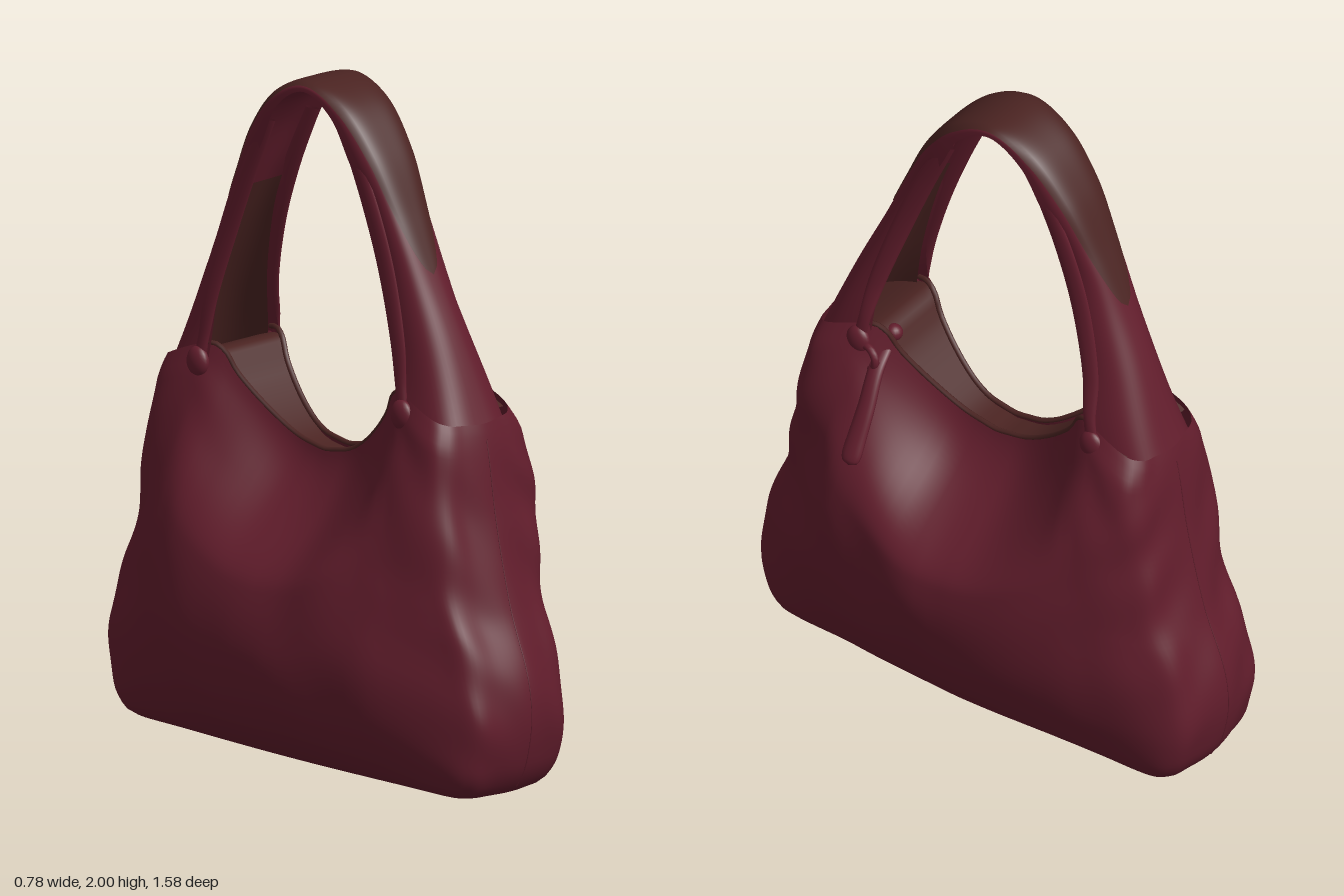
import * as THREE from 'three';
import { mergeVertices } from 'three/addons/utils/BufferGeometryUtils.js';

const V = (x, y, z) => new THREE.Vector3(x, y, z);
const { smoothstep, clamp } = THREE.MathUtils;

// Smooth lookup in a table of [key, value]
function interp(t, x) {
  if (x <= t[0][0]) return t[0][1];
  const n = t.length - 1;
  if (x >= t[n][0]) return t[n][1];
  let i = 0;
  while (x > t[i + 1][0]) i++;
  const slope = (k) => {
    const a = t[Math.max(k - 1, 0)], b = t[Math.min(k + 1, n)];
    return (b[1] - a[1]) / (b[0] - a[0]);
  };
  const h = t[i + 1][0] - t[i][0], u = (x - t[i][0]) / h, u2 = u * u, u3 = u2 * u;
  return (2 * u3 - 3 * u2 + 1) * t[i][1] + (u3 - 2 * u2 + u) * h * slope(i)
    + (3 * u2 - 2 * u3) * t[i + 1][1] + (u3 - u2) * h * slope(i + 1);
}

// Smooth surface from f(u, v), with u and v in 0..1
function surface(nu, nv, f) {
  const pos = [], idx = [];
  for (let j = 0; j <= nv; j++)
    for (let i = 0; i <= nu; i++) pos.push(...f(i / nu, j / nv).toArray());
  for (let j = 0; j < nv; j++)
    for (let i = 0; i < nu; i++) {
      const a = j * (nu + 1) + i, d = a + nu + 1;
      idx.push(a, a + 1, d, a + 1, d + 1, d);
    }
  let g = new THREE.BufferGeometry();
  g.setAttribute('position', new THREE.Float32BufferAttribute(pos, 3));
  g.setIndex(idx);
  g = mergeVertices(g, 1e-5);
  g.computeVertexNormals();
  return g;
}

// Body tables: half length by height, half thickness by level, rim height by z
const LENGTH = [[0, 0.69], [0.035, 0.73], [0.1, 0.765], [0.23, 0.79], [0.36, 0.775], [0.55, 0.705], [0.8, 0.645], [1.06, 0.6], [1.2, 0.54]];
const THICK = [[0, 0.18], [0.04, 0.24], [0.15, 0.32], [0.3, 0.37], [0.47, 0.385], [0.65, 0.35], [0.85, 0.25], [1, 0.165]];
const RIM = [[0, 0.9], [0.1, 0.92], [0.19, 0.975], [0.3, 1.07], [0.375, 1.15], [0.45, 1.15], [0.6, 1.08]];

// Plan outlines of the body: a box with flat end gussets, and its bulged form
function outline(quarter) {
  const half = [...quarter, ...quarter.slice(0, -1).reverse().map(([q, x]) => [-q, x])];
  const ring = [...half, ...half.slice(1, -1).reverse().map(([q, x]) => [q, -x])];
  return new THREE.CatmullRomCurve3(ring.map(([q, x]) => V(x, 0, q)), true);
}
const boxPlan = outline([[1, 0], [0.985, 0.42], [0.96, 0.75], [0.9, 0.9], [0.65, 0.94], [0.33, 0.98], [0, 1]]);
const bulgePlan = outline([[1, 0], [0.975, 0.25], [0.94, 0.46], [0.85, 0.57], [0.66, 0.76], [0.35, 0.935], [0, 1]]);

function bodyPoint(u, level) {
  const v = Math.max(0, (level - 0.06) / 0.94), inner = Math.min(1, level / 0.06);
  // The gussets keep their width while the panels between them swell
  const p = boxPlan.getPoint(u).lerp(bulgePlan.getPoint(u), clamp((interp(THICK, v) - 0.2) / 0.185, 0, 1));
  const s = clamp(p.z, -1, 1);
  const y = 0.008 + v * (interp(RIM, Math.abs(s) * 0.6) - 0.008);
  // The left side bulges higher than the right
  const swell = clamp(v - 0.24 * p.x * v * (1 - v), 0, 1);
  // The mouth closes in toward the middle
  const close = smoothstep(v, 0.6, 1) * (1 - smoothstep(Math.abs(s), 0.1, 0.92));
  let x = p.x * interp(THICK, swell) * (1 - 0.68 * close);
  let z = s * interp(LENGTH, y);
  // Soft folds fanning out from the strap roots, and creased ends
  const amount = Math.sin(Math.PI * v) * Math.min(1, Math.abs(p.x) * 2);
  const side = Math.sign(p.x);
  const fan = Math.atan2(1.2 - y, 0.12 + Math.abs(Math.abs(z) - 0.42));
  x += side * amount * (0.006 * Math.sin(fan * 13 + side + z * 3) + 0.004 * Math.sin(z * 17 + y * 9 + side * 2));
  z += s * Math.abs(s) * amount * 0.008 * Math.sin(y * 24 + p.x * 8);
  return V(x * inner, y, z * inner);
}

// Strap sections: outer z, y, inner z, y, half width, squareness
const STRAP = [
  [0.6, 1.04, 0.38, 1.1, 0.148, 3.4], [0.503, 1.29, 0.37, 1.3, 0.108, 2.6], [0.422, 1.47, 0.315, 1.52, 0.086, 2.6],
  [0.34, 1.65, 0.25, 1.68, 0.085, 3.2], [0.25, 1.825, 0.18, 1.79, 0.1, 4], [0.14, 1.95, 0.11, 1.915, 0.108, 4],
  [0, 2, 0, 1.975, 0.11, 4],
];
const strapRows = [...STRAP, ...STRAP.slice(0, -1).reverse().map(([a, b, c, d, w, p]) => [-a, b, -c, d, w, p])];
const strapTables = [0, 1, 2, 3, 4, 5].map((k) => strapRows.map((r, i) => [i / 12, r[k]]));

// Point on the channel-shaped strap; a is -1..1 across, lift moves it outward
function strapPoint(a, t, lift = 0, limit = Infinity, shrink = 1) {
  const [oz, oy, iz, iy, w, p] = strapTables.map((tab) => interp(tab, t));
  const k = Math.sin(a * Math.PI / 2);
  let f = Math.sign(k) * Math.pow(Math.abs(k), 0.8);
  if (limit < Infinity) f = a * Math.min(0.985, limit / w);
  const d = 1 - Math.pow(Math.max(0, 1 - Math.pow(Math.abs(f), p)), 1 / p);
  const out = V(0, oy - iy, oz - iz).normalize().multiplyScalar(lift);
  const shift = -0.027 * smoothstep(oy, 1.1, 1.6);
  return V(f * w * shrink + shift, oy + (iy - oy) * d, oz + (iz - oz) * d).add(out);
}

export function createModel() {
  const bag = new THREE.Group();
  bag.name = 'shoulderBag';
  const fabric = new THREE.MeshStandardMaterial({ color: 0x621d2c, side: THREE.DoubleSide });
  fabric.name = 'burgundyFabric';
  const trim = new THREE.MeshStandardMaterial({ color: 0x4a2321, side: THREE.DoubleSide });
  trim.name = 'brownTrim';
  const add = (name, geometry, material, parent = bag) => {
    const m = new THREE.Mesh(geometry, material);
    m.name = name;
    parent.add(m);
    return m;
  };

  // Soft body, closed underneath and open along the rim
  add('body', surface(144, 64, bodyPoint), fabric);

  // Sunken zip panel spanning the two rims
  add('zipPanel', surface(8, 48, (u, v) => {
    const along = 0.25 + (v - 0.5) * 0.25;
    return bodyPoint(along, 1).lerp(bodyPoint(1 - along, 1), u).add(V(0, -0.02, 0));
  }), trim);

  // Brown binding along each rim
  for (const side of [1, -1]) {
    const pts = [];
    for (let i = 0; i <= 20; i++) {
      const p = bodyPoint((side > 0 ? 0.25 : 0.75) + (i / 20 - 0.5) * 0.19, 1);
      pts.push(p.add(V(-side * 0.006, 0, 0)));
    }
    add('rimBinding', new THREE.TubeGeometry(new THREE.CatmullRomCurve3(pts), 48, 0.008, 6), trim);
  }

  // Strap channel, its lining at both roots, and the tapered shoulder patch
  add('strap', surface(28, 96, (u, v) => strapPoint(u * 2 - 1, v)), fabric);
  for (const start of [0, 0.77])
    add('strapLining', surface(20, 30, (u, v) => strapPoint((u * 2 - 1) * 0.95, start + v * 0.23, -0.01, Infinity, 0.92)), trim);
  add('shoulderPatch', surface(20, 80, (u, v) => {
    const t = 0.17 + v * 0.66;
    const z = Math.abs(interp(strapTables[0], t)) / 0.41;
    return strapPoint(u * 2 - 1, t, 0.005, 0.111 * Math.sqrt(Math.max(0, 1 - Math.pow(z, 2.3))));
  }), trim);

  // Edge bands standing off the strap, running down to knotted ends on the body
  for (const x of [1, -1])
    for (const z of [1, -1]) {
      const path = new THREE.CatmullRomCurve3([
        V(x * 0.09 - 0.026, 1.86, z * 0.165), V(x * 0.09 - 0.026, 1.68, z * 0.25), V(x * 0.098 - 0.022, 1.5, z * 0.32),
        V(x * 0.122 - 0.012, 1.3, z * 0.38), V(x * 0.142, 1.18, z * 0.4), V(x * 0.15, 1.1, z * 0.415),
      ]);
      add('edgeBand', surface(12, 48, (u, v) => {
        const a = u * Math.PI * 2, p = path.getPoint(v);
        const taper = 0.6 + 0.4 * Math.sin(Math.PI * Math.min(1, v + 0.2));
        return p.add(V(Math.cos(a) * 0.01, 0, Math.sin(a) * 0.034 * taper));
      }), fabric);
      const knot = add('bandKnot', new THREE.SphereGeometry(0.04, 20, 14), fabric);
      knot.scale.set(0.6, 1.15, 1);
      knot.position.set(x * 0.152, 1.1, z * 0.415);
    }

  // Zip pull hanging on the left side
  const pull = new THREE.Group();
  pull.name = 'zipPull';
  bag.add(pull);
  const pullPath = new THREE.CatmullRomCurve3([V(0.09, 1.1, 0.345), V(0.165, 1.04, 0.34), V(0.23, 0.94, 0.33), V(0.28, 0.85, 0.33), V(0.315, 0.785, 0.33)]);
  add('pullTab', surface(14, 32, (u, v) => {
    const a = u * Math.PI * 2;
    const round = Math.sqrt(Math.max(0, 1 - Math.pow(Math.abs(2 * v - 1), 10)));
    const w = (0.022 + 0.013 * v) * round;
    return pullPath.getPoint(v).add(V(Math.cos(a) * 0.014 * round, Math.cos(a) * 0.005 * round, Math.sin(a) * w));
  }), fabric, pull);
  const loop = add('pullLoop', new THREE.TorusGeometry(0.035, 0.012, 8, 24), fabric, pull);
  loop.position.set(0.16, 1.06, 0.375);
  loop.rotation.y = Math.PI / 2 - 0.3;
  const slider = add('zipSlider', new THREE.SphereGeometry(0.026, 16, 12), fabric, pull);
  slider.position.set(0.075, 1.11, 0.345);

  // Fine seams down both ends
  for (const u of [0, 0.5]) {
    const pts = [];
    for (let i = 0; i <= 16; i++) pts.push(bodyPoint(u, 0.08 + i / 16 * 0.88));
    add('endSeam', new THREE.TubeGeometry(new THREE.CatmullRomCurve3(pts), 48, 0.002, 6), fabric);
  }
  return bag;
}
